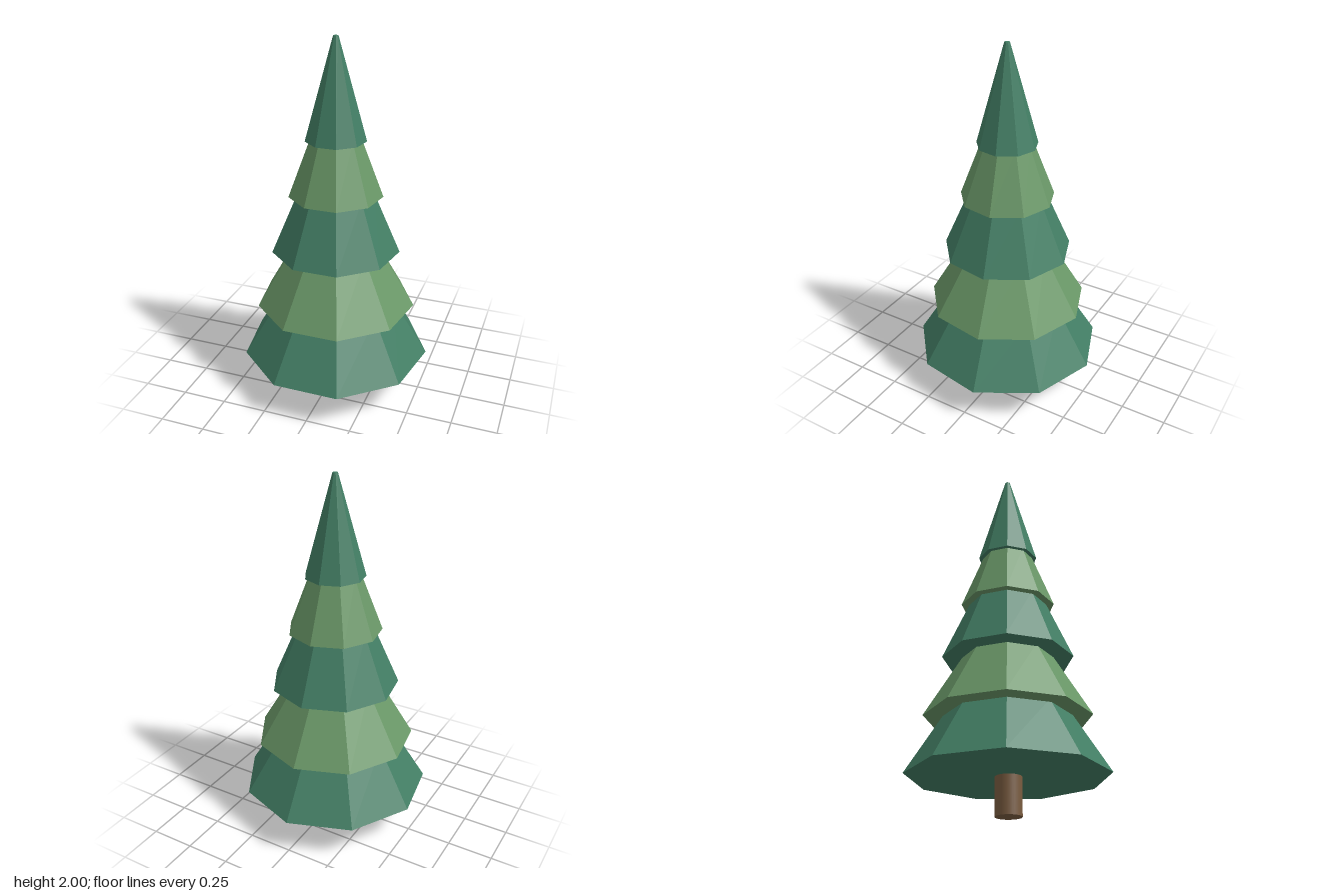
import * as THREE from 'three';

export function createModel() {
  const tree = new THREE.Group();
  tree.name = 'pineTree';

  const material = (name, color, flatShading) => {
    const m = new THREE.MeshStandardMaterial({ color, flatShading });
    m.name = name;
    return m;
  };
  const darkGreen = material('darkGreen', 0x437f65, true);
  const lightGreen = material('lightGreen', 0x6a9868, true);
  const brown = material('barkBrown', 0x7a5c40, false);

  const SIDES = 9;
  const CENTRE_Z = 0.014;

  // Frustum standing on y = bottom
  const addFrustum = (name, bottom, top, rBottom, rTop, sides, mat) => {
    const geometry = new THREE.CylinderGeometry(rTop, rBottom, top - bottom, sides);
    geometry.rotateY(Math.PI); // one corner points to the back
    const mesh = new THREE.Mesh(geometry, mat);
    mesh.name = name;
    mesh.position.set(0, (bottom + top) / 2, CENTRE_Z);
    tree.add(mesh);
    return mesh;
  };

  // Trunk
  const trunk = addFrustum('trunk', 0, 0.22, 0.07, 0.07, 32, brown);
  trunk.position.x = -0.002;
  trunk.position.z = 0.018;

  // Foliage tiers: bottom y, top y, bottom radius, top radius
  const tiers = [
    [0.2, 0.525, 0.528, 0.328],
    [0.505, 0.855, 0.444, 0.237],
    [0.835, 1.175, 0.355, 0.207],
    [1.155, 1.48, 0.258, 0.134],
    [1.46, 2.0, 0.165, 0.014],
  ];
  tiers.forEach(([bottom, top, rBottom, rTop], i) => {
    addFrustum(`foliageTier${i + 1}`, bottom, top, rBottom, rTop, SIDES, i % 2 ? lightGreen : darkGreen);
  });

  return tree;
}
